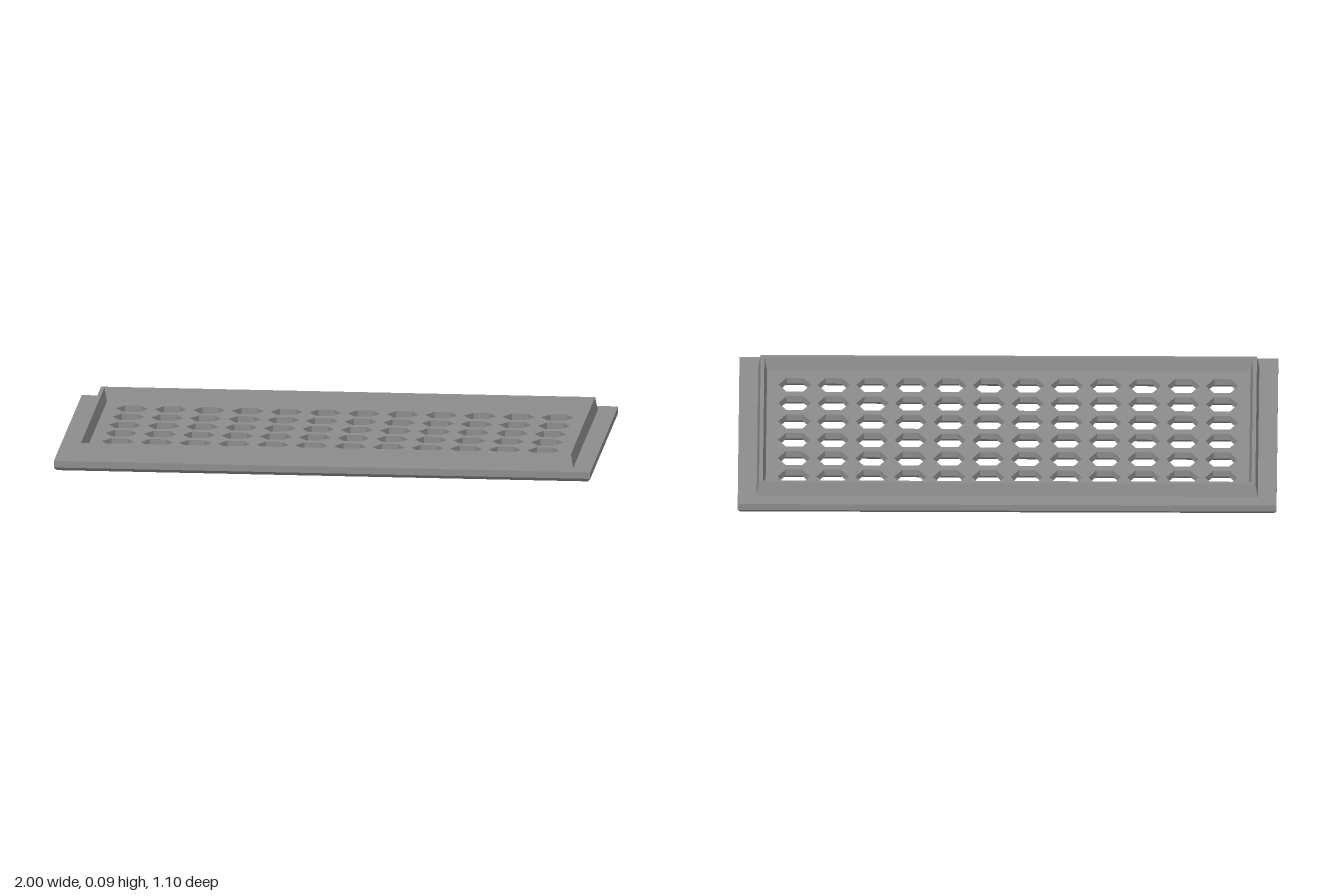
import * as THREE from 'three';
import { mergeGeometries } from 'three/addons/utils/BufferGeometryUtils.js';

const TOP = 0.037, CHAMFER = 0.012, RIM_TOP = 0.088;

// Loops run counter-clockwise seen from above; shape y becomes -z.
const rect = (w, d) => [[-w, -d], [w, -d], [w, d], [-w, d]].map(p => new THREE.Vector2(...p));
const hex = (cx, cy, r) => Array.from({ length: 6 }, (_, i) =>
  new THREE.Vector2(cx + r * Math.cos(i * Math.PI / 3), cy + r * Math.sin(i * Math.PI / 3)));

// Flat-sided walls joining successive [loop, height] sections.
function walls(sections) {
  const pos = [];
  for (let k = 0; k + 1 < sections.length; k++) {
    const [a, ya] = sections[k], [b, yb] = sections[k + 1];
    a.forEach((_, i) => {
      const j = (i + 1) % a.length;
      const q = [[a[i], ya], [a[j], ya], [b[j], yb], [b[i], yb]];
      for (const n of [0, 1, 2, 0, 2, 3]) pos.push(q[n][0].x, q[n][1], -q[n][0].y);
    });
  }
  const g = new THREE.BufferGeometry();
  g.setAttribute('position', new THREE.Float32BufferAttribute(pos, 3));
  g.computeVertexNormals();
  return g;
}

// Horizontal perforated sheet facing up or down.
function sheet(outline, holes, y, down) {
  const s = new THREE.Shape(outline);
  s.holes = holes.map(h => new THREE.Path(h));
  const g = new THREE.ShapeGeometry(s);
  if (down) {
    const ix = g.index.array;
    for (let i = 0; i < ix.length; i += 3) [ix[i], ix[i + 1]] = [ix[i + 1], ix[i]];
    g.computeVertexNormals();
  }
  return g.rotateX(-Math.PI / 2).translate(0, y, 0);
}

export function createModel() {
  const model = new THREE.Group();
  model.name = 'ventGrille';
  const grey = new THREE.MeshStandardMaterial({ color: 0x8c8c8c });
  grey.name = 'grey';
  const add = (name, geometry) => {
    const m = new THREE.Mesh(geometry, grey);
    m.name = name;
    model.add(m);
  };

  // Hexagonal hole grid, 12 by 6
  const centres = [];
  for (let r = 0; r < 6; r++)
    for (let c = 0; c < 12; c++) centres.push([(c - 5.5) * 0.1442, (r - 2.5) * 0.137]);
  const holes = centres.map(([x, y]) => hex(x, y, 0.06));
  const flared = centres.map(([x, y]) => hex(x, y, 0.071));

  // Base plate with chamfered lower edge
  const outer = rect(1, 0.55), foot = rect(0.99, 0.54);
  add('plateTop', sheet(outer, holes, TOP, false));
  add('plateBottom', sheet(foot, flared, 0, true));
  add('plateEdge', walls([[foot, 0], [outer, CHAMFER], [outer, TOP]]));

  // Hole walls flare out at the underside
  add('holeWalls', mergeGeometries(holes.map((h, i) =>
    walls([[h, TOP], [h, CHAMFER], [flared[i], 0]]))));

  // Raised tapered rim
  add('rim', walls([
    [rect(0.93, 0.485), TOP], [rect(0.921, 0.475), RIM_TOP],
    [rect(0.907, 0.461), RIM_TOP], [rect(0.897, 0.451), TOP],
  ]));
  return model;
}
